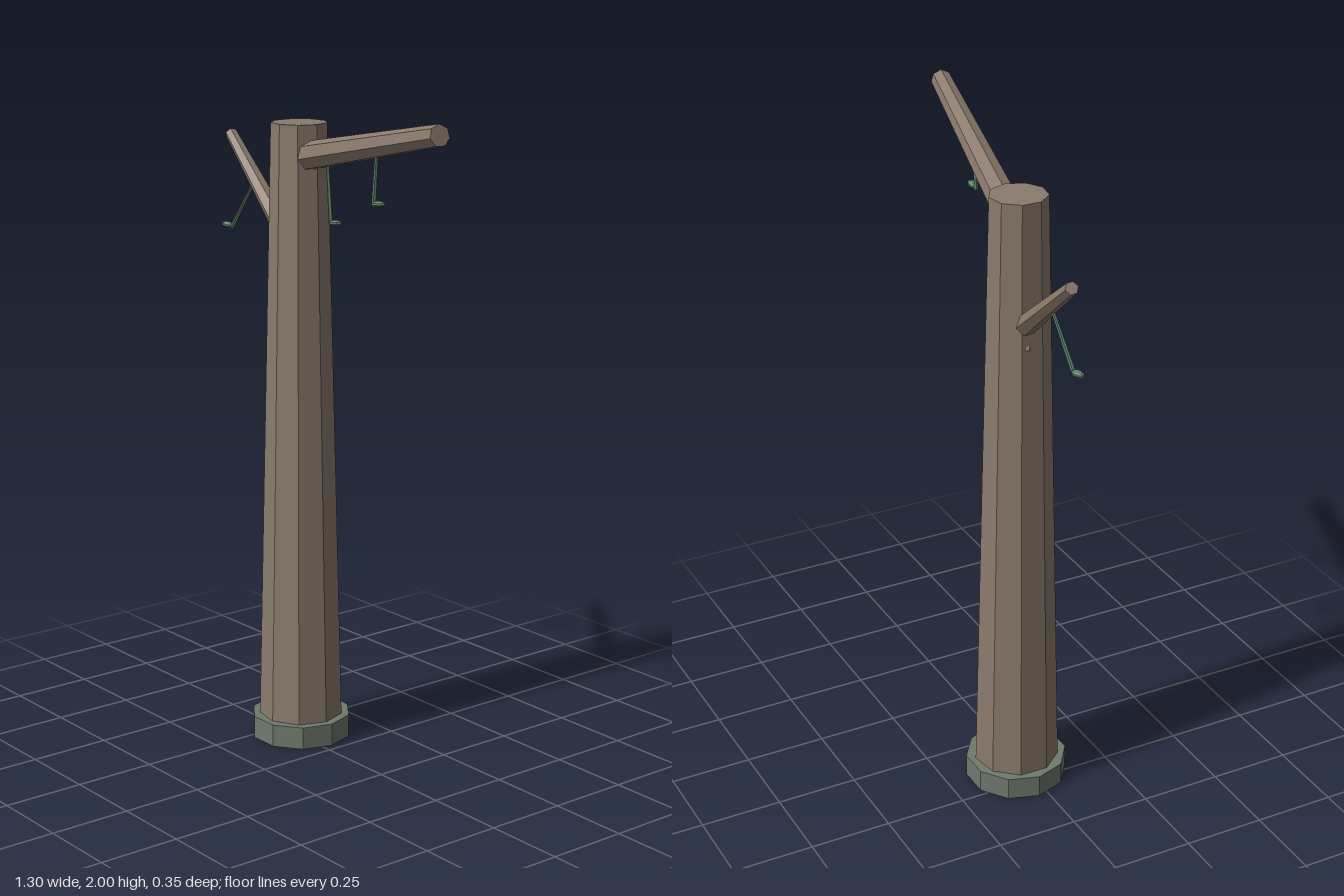
import * as THREE from 'three';

const material = (color) => new THREE.MeshStandardMaterial({ color, flatShading: true });
const bark = material(0x8a7a6c);
const stone = material(0x6f7a6c);
const green = material(0x5c8068);

// Tapered cylinder running from point a to point b
function limb(name, a, b, rA, rB, sides, mat) {
  const start = new THREE.Vector3(...a);
  const end = new THREE.Vector3(...b);
  const dir = end.clone().sub(start);
  const mesh = new THREE.Mesh(new THREE.CylinderGeometry(rB, rA, dir.length(), sides), mat);
  mesh.quaternion.setFromUnitVectors(new THREE.Vector3(0, 1, 0), dir.normalize());
  mesh.position.copy(start).add(end).multiplyScalar(0.5);
  mesh.name = name;
  return mesh;
}

// Hanging stem with a small flattened leaf at its foot, pointing to side (+1 or -1)
function sprig(name, top, foot, side) {
  const group = new THREE.Group();
  group.name = name;
  const leaf = new THREE.Mesh(new THREE.SphereGeometry(1, 8, 5), green);
  leaf.name = 'leaf';
  leaf.scale.set(0.027, 0.009, 0.015);
  leaf.position.set(foot[0] + side * 0.021, foot[1] + 0.009, foot[2]);
  leaf.rotation.z = side * 0.08;
  group.add(limb('stem', top, foot, 0.005, 0.007, 5, green), leaf);
  return group;
}

export function createModel() {
  const model = new THREE.Group();
  const cx = -0.18, cz = -0.03;

  // Stone foot and tapering nine-sided trunk
  const base = limb('base', [cx, 0, cz], [cx, 0.07, cz], 0.155, 0.155, 10, stone);
  base.rotation.y = Math.PI / 10;
  const trunk = limb('trunk', [cx, 0.01, cz], [cx, 1.915, cz], 0.131, 0.085, 9, bark);
  trunk.rotation.y = 0.16;
  model.add(base, trunk);

  // Branches grow out of the trunk axis
  model.add(
    limb('largeBranch', [cx, 1.81, cz], [0.643, 1.968, 0.14], 0.045, 0.031, 7, bark),
    limb('smallBranch', [cx, 1.5, cz], [-0.64, 1.832, -0.117], 0.034, 0.019, 6, bark),
    limb('branchStub', [-0.22, 1.56, -0.045], [-0.268, 1.48, -0.045], 0.02, 0.01, 5, bark),
  );

  // Sprigs under the branches
  model.add(
    sprig('innerSprig', [-0.007, 1.83, 0.002], [0.008, 1.635, 0], 1),
    sprig('outerSprig', [0.316, 1.9, 0.083], [0.311, 1.735, 0.09], 1),
    sprig('smallBranchSprig', [-0.474, 1.7, -0.083], [-0.57, 1.545, -0.066], -1),
  );
  return model;
}
